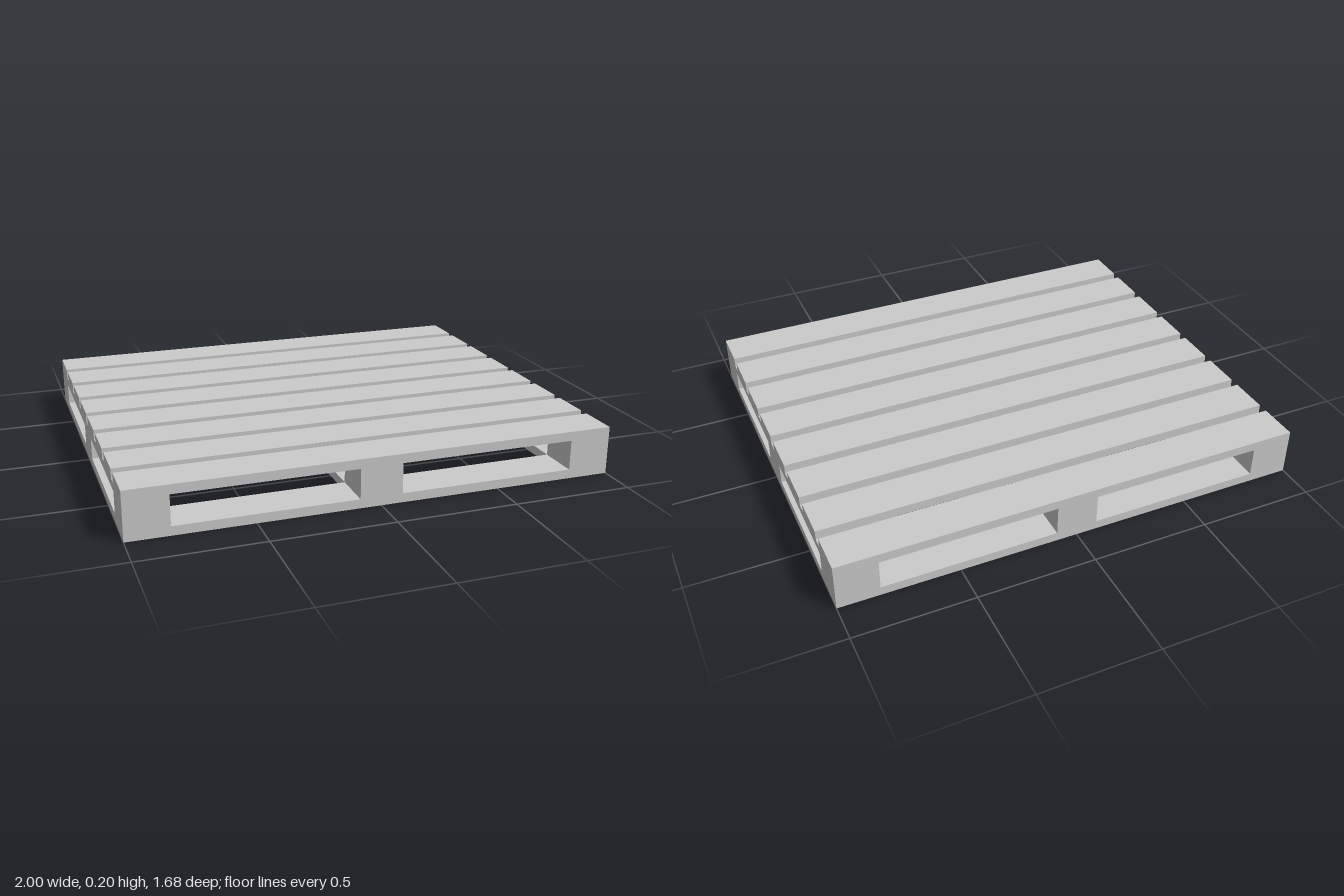
import * as THREE from 'three';

const W = 2, D = 1.68;           // overall width (x) and depth (z)
const BASE = 0.038;              // top of the bottom frame
const BEAM = 0.128;              // underside of the stringer beams
const DECK = 0.164;              // underside of the deck slats
const TOP = 0.203;
const BLOCK = 0.175;             // width of blocks, frame boards and beams
const SLATS = 8, SLAT = 0.1725;

const material = new THREE.MeshStandardMaterial({ color: 0xcccccc, flatShading: true });

function addMesh(parent, name, geometry, x = 0, y = 0, z = 0) {
  const mesh = new THREE.Mesh(geometry, material);
  mesh.name = name;
  mesh.position.set(x, y, z);
  parent.add(mesh);
}

const polygon = (points, Type = THREE.Shape) =>
  new Type(points.map(([x, y]) => new THREE.Vector2(x, y)));

const rectangle = (x0, y0, x1, y1, Type) =>
  polygon([[x0, y0], [x1, y0], [x1, y1], [x0, y1]], Type);

// Flat board frame with four openings
function bottomFrameGeometry() {
  const shape = rectangle(-W / 2, -D / 2, W / 2, D / 2);
  const [x0, x1] = [BLOCK / 2, W / 2 - BLOCK];
  const [z0, z1] = [BLOCK / 2, D / 2 - BLOCK];
  for (const sx of [-1, 1]) {
    for (const sz of [-1, 1]) {
      shape.holes.push(rectangle(sx * x0, sz * z0, sx * x1, sz * z1, THREE.Path));
    }
  }
  return new THREE.ExtrudeGeometry(shape, { depth: BASE, bevelEnabled: false })
    .rotateX(-Math.PI / 2);
}

// Stringer beam standing on three blocks, drawn from the side
function runnerGeometry() {
  const end = D / 2, inner = end - BLOCK, mid = BLOCK / 2;
  const shape = polygon([
    [-end, BASE], [-inner, BASE], [-inner, BEAM], [-mid, BEAM], [-mid, BASE],
    [mid, BASE], [mid, BEAM], [inner, BEAM], [inner, BASE], [end, BASE],
    [end, DECK], [-end, DECK],
  ]);
  return new THREE.ExtrudeGeometry(shape, { depth: BLOCK, bevelEnabled: false })
    .translate(0, 0, -BLOCK / 2)
    .rotateY(-Math.PI / 2);
}

export function createModel() {
  const pallet = new THREE.Group();
  pallet.name = 'pallet';

  addMesh(pallet, 'bottomFrame', bottomFrameGeometry());

  // Three runners from front to back
  const runner = runnerGeometry();
  const offset = (W - BLOCK) / 2;
  addMesh(pallet, 'rightRunner', runner, -offset);
  addMesh(pallet, 'middleRunner', runner);
  addMesh(pallet, 'leftRunner', runner, offset);

  // Deck slats across the top, evenly spaced
  const slat = new THREE.BoxGeometry(W, TOP - DECK, SLAT);
  const pitch = (D - SLAT) / (SLATS - 1);
  for (let i = 0; i < SLATS; i++) {
    addMesh(pallet, `deckSlat${i + 1}`, slat, 0, (TOP + DECK) / 2, -(D - SLAT) / 2 + i * pitch);
  }

  return pallet;
}
